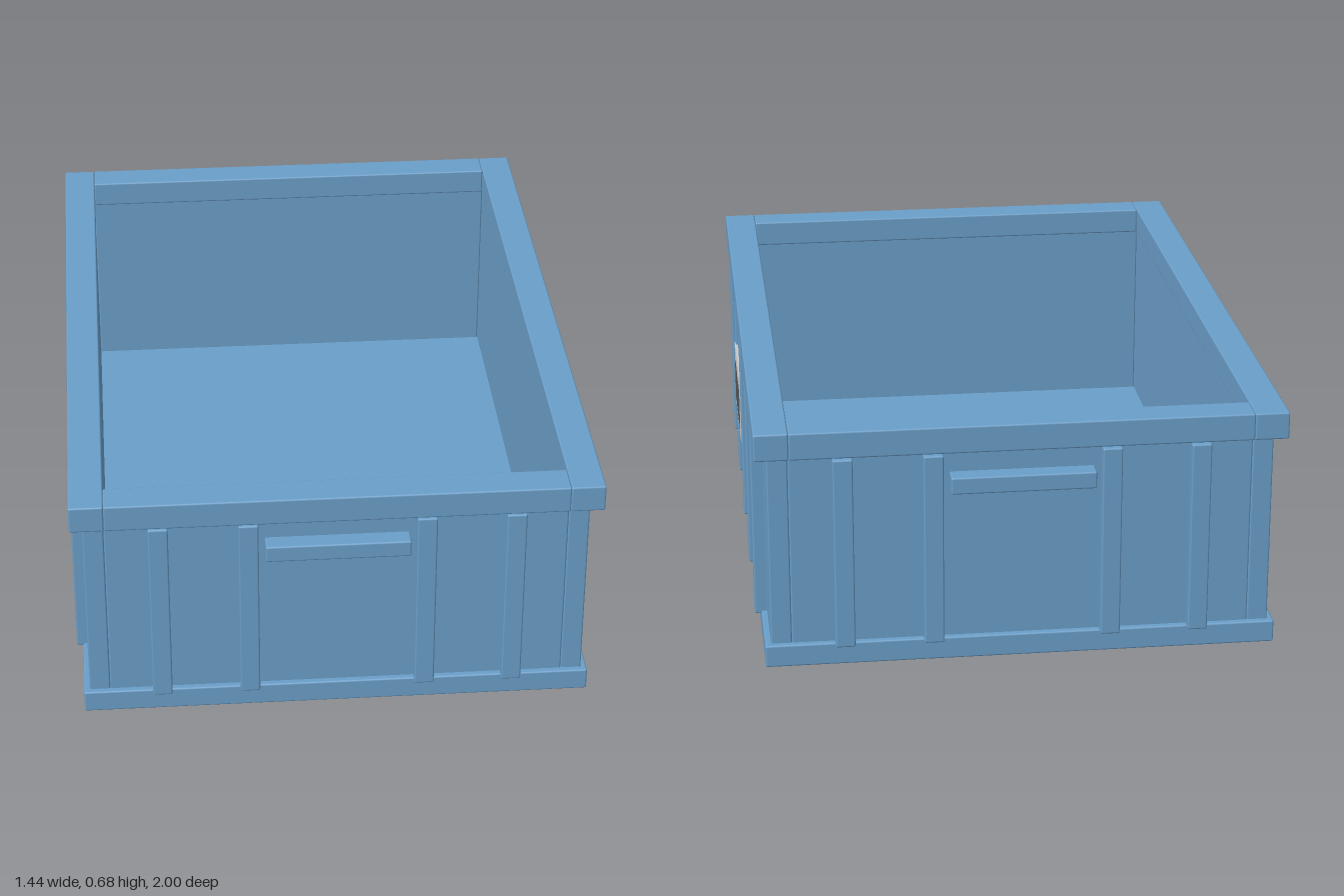
import * as THREE from 'three';
import { RoundedBoxGeometry } from 'three/addons/geometries/RoundedBoxGeometry.js';

export function createModel() {
  const crate = new THREE.Group();
  crate.name = 'storageCrate';

  const material = (name, color) => {
    const m = new THREE.MeshStandardMaterial({ color });
    m.name = name;
    return m;
  };
  const blue = material('bluePlastic', 0x6a9ec8);
  const grey = material('labelGrey', 0xc8c8c8);
  const dark = material('barDark', 0x555759);

  // Box given by its limits on each axis, with slightly softened edges
  function box(name, mat, [x0, x1], [y0, y1], [z0, z1], radius = 0.005) {
    const size = [x1 - x0, y1 - y0, z1 - z0];
    const geometry = radius
      ? new RoundedBoxGeometry(...size, 2, radius)
      : new THREE.BoxGeometry(...size);
    const mesh = new THREE.Mesh(geometry, mat);
    mesh.name = name;
    mesh.position.set((x0 + x1) / 2, (y0 + y1) / 2, (z0 + z1) / 2);
    crate.add(mesh);
  }
  // Range from a to b, mirrored when the sign is negative
  const range = (sign, a, b) => (sign > 0 ? [a, b] : [-b, -a]);
  const around = (centre, half) => [centre - half, centre + half];

  // Base slab, also the inner floor
  box('base', blue, [-0.7, 0.7], [0, 0.063], [-0.967, 0.967]);

  const wallY = [0.04, 0.62];
  const rimY = [0.608, 0.684];
  const ribY = [0.055, 0.601];

  for (const s of [1, -1]) {
    // Long sides: wall, rim and five ribs
    box('sideWall', blue, range(s, 0.627, 0.684), wallY, [-0.95, 0.95]);
    box('sideRim', blue, range(s, 0.625, 0.718), rimY, [-0.987, 0.987]);
    for (let i = -2; i <= 2; i++) {
      box('sideRib', blue, range(s, 0.675, 0.718), ribY, around(i * 0.353, 0.029));
    }

    // Short ends: wall, rim, four ribs and a grip
    box('endWall', blue, [-0.627, 0.627], wallY, range(s, 0.897, 0.95));
    box('endRim', blue, [-0.625, 0.625], rimY, range(s, 0.893, 0.987));
    for (const x of [-0.483, -0.241, 0.241, 0.483]) {
      box('endRib', blue, around(x, 0.027), ribY, range(s, 0.94, 0.982));
    }
    box('gripBar', blue, [-0.196, 0.196], [0.495, 0.543], range(s, 0.94, 1));
  }

  // Label plate with six dark bars on the left side
  box('labelPlate', grey, [0.711, 0.72], [0.275, 0.473], [0.003, 0.353], 0);
  for (let i = 0; i < 6; i++) {
    box('labelBar', dark, [0.716, 0.7215], [0.303, 0.426], around(0.057 + i * 0.0487, 0.013), 0);
  }

  return crate;
}
